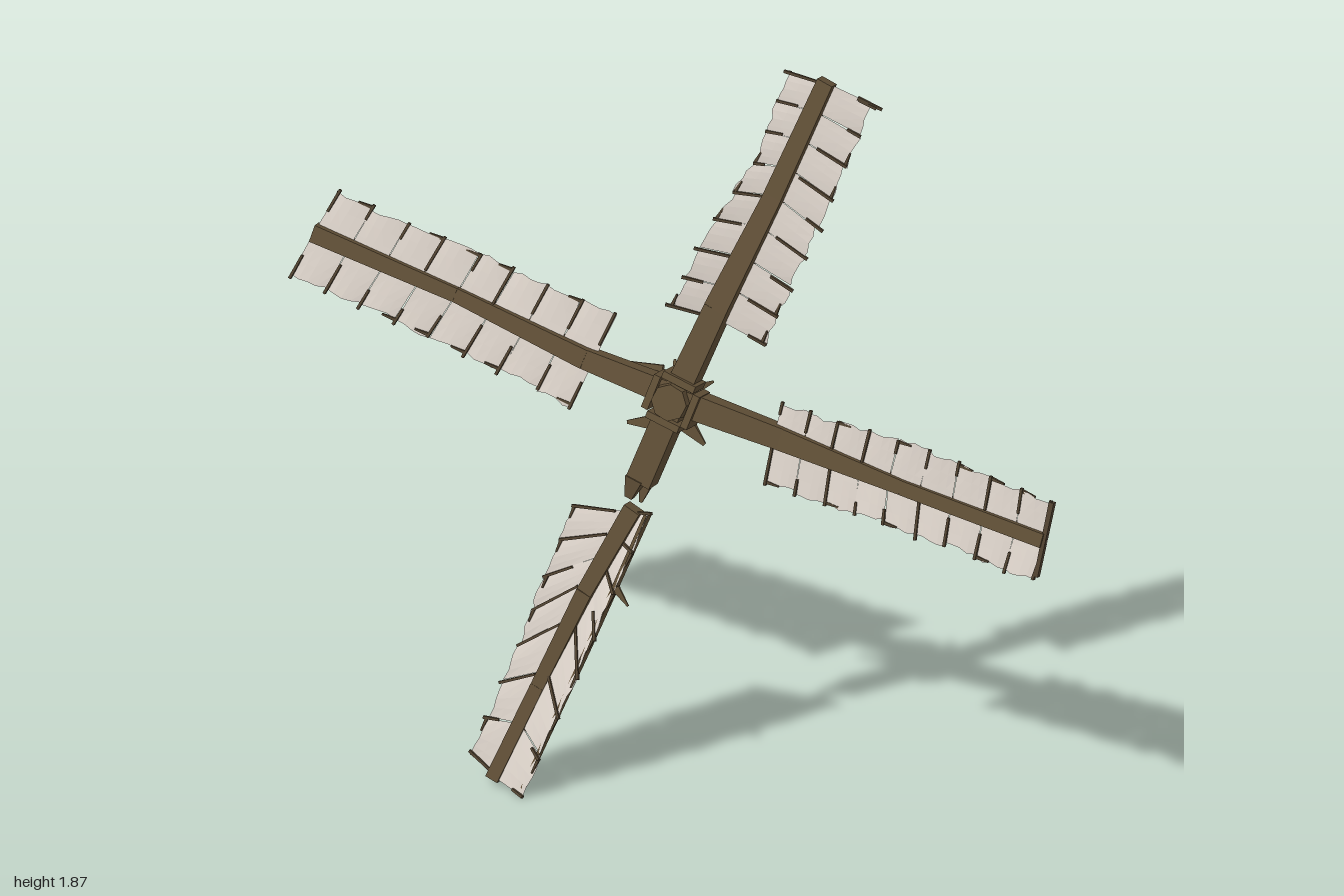
import * as THREE from 'three';

const V = (x, y, z) => new THREE.Vector3(x, y, z);
const AXLE = V(-0.07, 0.25, 0.95).normalize(); // tilted rotor axis
const HUB = V(0, 1.045, 0);

const mat = (name, color, side = THREE.FrontSide) => {
  const m = new THREE.MeshStandardMaterial({ color, side });
  m.name = name;
  m.flatShading = true;
  return m;
};

// Point at s (0..1) on a polyline
function along(pts, s) {
  const f = Math.min(Math.max(s, 0), 1) * (pts.length - 1);
  const i = Math.min(Math.floor(f), pts.length - 2);
  return pts[i].clone().lerp(pts[i + 1], f - i);
}

export function createModel() {
  const root = new THREE.Group();
  root.name = 'brokenWindmillRotor';
  const cloth = mat('weathered cloth', 0xdcd3ca, THREE.DoubleSide);
  const wood = mat('old wood', 0x615037);
  const dark = mat('dark wood', 0x504230);

  let seed = 11;
  const rnd = () => ((seed = (seed * 16807) % 2147483647) / 2147483647);
  const jit = (a) => (rnd() - 0.5) * 2 * a;

  // Tapered plank from p to q, its broad face towards 'face'
  function beam(parent, name, p, q, w0, w1, d0, d1, material, face = AXLE) {
    const dir = q.clone().sub(p);
    const geo = new THREE.BoxGeometry(1, dir.length(), 1);
    const a = geo.attributes.position;
    for (let i = 0; i < a.count; i++) {
      const end = a.getY(i) > 0;
      a.setX(i, a.getX(i) * (end ? w1 : w0));
      a.setZ(i, a.getZ(i) * (end ? d1 : d0));
    }
    const y = dir.normalize();
    const x = new THREE.Vector3().crossVectors(y, face).normalize();
    const z = new THREE.Vector3().crossVectors(x, y);
    const mesh = new THREE.Mesh(geo, material);
    mesh.quaternion.setFromRotationMatrix(new THREE.Matrix4().makeBasis(x, y, z));
    mesh.position.copy(p).lerp(q, 0.5);
    mesh.name = name;
    parent.add(mesh);
  }

  // Pointed splinter
  function splinter(parent, p, q, w) {
    beam(parent, 'splinter', p, q, w, w * 0.2, w * 0.4, 0.004, wood);
  }

  // One half of a sail: ragged cloth panels between the spar and an outer edge
  function sailHalf(parent, mid, edge, n) {
    const pos = [];
    const cols = 4, rows = 3;
    for (let i = 0; i < n; i++) {
      const reach = 1.01 + jit(0.05), lift = jit(0.005), slant = jit(0.035);
      const rag = Array.from({ length: cols + 1 }, () => jit(0.05));
      const at = (c, r) => {
        const u = c / cols, t = r / rows;
        const s = (i + 0.01 + 0.985 * u) / n;
        const p = along(mid, s).lerp(along(edge, s + slant * t / n), t * (reach + slant * (u - 0.5)) + (r === rows ? rag[c] : 0));
        return p.addScaledVector(AXLE, t * lift + 0.004 * Math.sin(Math.PI * u) * t);
      };
      for (let c = 0; c < cols; c++) for (let r = 0; r < rows; r++) {
        const [a, b, d, e] = [at(c, r), at(c + 1, r), at(c + 1, r + 1), at(c, r + 1)];
        for (const v of [a, b, d, a, d, e]) pos.push(v.x, v.y, v.z);
      }
    }
    const geo = new THREE.BufferGeometry();
    geo.setAttribute('position', new THREE.Float32BufferAttribute(pos, 3));
    geo.computeVertexNormals();
    const mesh = new THREE.Mesh(geo, cloth);
    mesh.name = 'sailCloth';
    parent.add(mesh);
  }

  // Blade: spar, two sail halves, and broken rungs in front of the cloth
  function blade({ name, spar, widths, mid, edges, n }) {
    const g = new THREE.Group();
    g.name = name;
    for (let i = 0; i < spar.length - 1; i++) {
      const [a, b] = [widths[i], widths[i + 1]];
      beam(g, 'spar', spar[i], spar[i + 1], a, b, a * 0.85, b * 0.8, wood);
    }
    for (const edge of edges) {
      sailHalf(g, mid, edge, n);
      for (let i = 0; i <= n; i++) {
        const s = Math.min(Math.max((i + jit(0.06)) / n, 0.005), 0.995);
        const m = along(mid, s), e = along(edge, s);
        const start = m.clone().lerp(e, rnd() * 0.75).addScaledVector(AXLE, 0.004);
        const tip = m.clone().lerp(e, 1.02 + rnd() * 0.12).addScaledVector(AXLE, 0.004);
        beam(g, 'rung', start, tip, 0.006, 0.007, 0.007, 0.009, dark);
        // Snapped batten at the hem
        if (rnd() > 0.4) {
          const q = along(edge, s + 0.05);
          beam(g, 'hemBatten', e, q.addScaledVector(AXLE, 0.004), 0.008, 0.004, 0.01, 0.006, dark);
        }
      }
    }
    root.add(g);
    return g;
  }

  const top = blade({
    name: 'topBlade', n: 8, widths: [0.065, 0.06, 0.048, 0.042],
    spar: [V(0.01, 1.07, -0.01), V(0.09, 1.28, -0.06), V(0.21, 1.57, -0.135), V(0.32, 1.865, -0.205)],
    mid: [V(0.09, 1.25, -0.055), V(0.21, 1.57, -0.133), V(0.325, 1.86, -0.205)],
    edges: [
      [V(-0.02, 1.28, -0.03), V(0.06, 1.48, -0.09), V(0.17, 1.67, -0.15), V(0.225, 1.875, -0.21)],
      [V(0.2, 1.2, -0.06), V(0.32, 1.5, -0.13), V(0.435, 1.82, -0.205)],
    ],
  });
  beam(top, 'tipBatten', V(0.4, 1.835, -0.2), V(0.46, 1.81, -0.205), 0.009, 0.006, 0.01, 0.008, dark);

  const left = blade({
    name: 'leftBlade', n: 9, widths: [0.065, 0.055, 0.036, 0.036],
    spar: [V(0.02, 1.045, 0), V(0.28, 0.995, 0.02), V(0.6, 0.935, 0.065), V(0.975, 0.875, 0.115)],
    mid: [V(0.255, 0.99, 0.02), V(0.6, 0.935, 0.065), V(0.985, 0.87, 0.115)],
    edges: [
      [V(0.27, 1.075, 0.0), V(0.62, 1.04, 0.045), V(0.99, 0.965, 0.09)],
      [V(0.24, 0.88, 0.04), V(0.6, 0.835, 0.09), V(0.96, 0.778, 0.138)],
    ],
  });
  beam(left, 'tipBar', V(0.99, 0.97, 0.092), V(0.965, 0.785, 0.138), 0.013, 0.01, 0.016, 0.016, dark);

  blade({
    name: 'rightBlade', n: 8, widths: [0.06, 0.05, 0.036, 0.044],
    spar: [V(-0.02, 1.06, -0.01), V(-0.24, 1.1, -0.04), V(-0.58, 1.205, -0.07), V(-0.95, 1.305, -0.09)],
    mid: [V(-0.22, 1.095, -0.04), V(-0.58, 1.205, -0.07), V(-0.95, 1.305, -0.092)],
    edges: [
      [V(-0.175, 1.205, -0.075), V(-0.53, 1.305, -0.1), V(-0.9, 1.405, -0.125)],
      [V(-0.265, 0.98, -0.015), V(-0.64, 1.095, -0.045), V(-0.998, 1.2, -0.065)],
    ],
  });

  // Snapped-off lower blade, its sail twisted around the spar
  const low = blade({
    name: 'brokenBlade', n: 7, widths: [0.045, 0.04, 0.034, 0.034],
    spar: [V(-0.09, 0.755, 0.045), V(-0.2, 0.53, 0.085), V(-0.31, 0.27, 0.118), V(-0.41, 0.025, 0.168)],
    mid: [V(-0.125, 0.735, 0.03), V(-0.2, 0.53, 0.073), V(-0.405, 0.03, 0.172)],
    edges: [
      [V(-0.25, 0.725, 0.015), V(-0.35, 0.41, 0.08), V(-0.47, 0.075, 0.155)],
      [V(-0.045, 0.76, 0.06), V(-0.18, 0.39, 0.145), V(-0.325, 0.008, 0.21)],
    ],
  });
  // Wooden rail behind the folded edge
  beam(low, 'edgeRail', V(-0.055, 0.745, 0.045), V(-0.185, 0.39, 0.125), 0.008, 0.008, 0.04, 0.035, wood);
  beam(low, 'edgeRail', V(-0.185, 0.39, 0.125), V(-0.325, 0.025, 0.192), 0.008, 0.008, 0.035, 0.02, wood);
  splinter(low, V(-0.12, 0.56, 0.1), V(-0.085, 0.52, 0.11), 0.02);

  // Stub left on the hub, snapped at a slant
  const stub = new THREE.Group();
  stub.name = 'snappedStub';
  root.add(stub);
  beam(stub, 'stubSpar', V(0, 1.04, -0.01), V(-0.08, 0.82, 0.018), 0.065, 0.066, 0.06, 0.055, wood);
  beam(stub, 'stubSplit', V(-0.09, 0.83, 0.022), V(-0.108, 0.775, 0.028), 0.045, 0.02, 0.05, 0.02, wood);
  splinter(stub, V(-0.07, 0.82, 0), V(-0.085, 0.755, 0.01), 0.04);

  // Hub block with clamp boards around it
  const hub = new THREE.Group();
  hub.name = 'hub';
  hub.position.copy(HUB);
  hub.quaternion.setFromUnitVectors(V(0, 0, 1), AXLE);
  root.add(hub);
  const core = new THREE.Mesh(new THREE.CylinderGeometry(0.046, 0.055, 0.09, 8), wood);
  core.name = 'hubCore';
  core.rotation.x = Math.PI / 2;
  hub.add(core);
  for (let i = 0; i < 4; i++) {
    const clamp = new THREE.Mesh(new THREE.BoxGeometry(0.09, 0.018, 0.07), wood);
    const a = i * Math.PI / 2 - 0.3;
    clamp.name = 'hubClamp';
    clamp.position.set(-Math.sin(a) * 0.055, Math.cos(a) * 0.055, 0);
    clamp.rotation.z = a;
    hub.add(clamp);
  }
  const axle = new THREE.Mesh(new THREE.CylinderGeometry(0.035, 0.028, 0.05, 7), wood);
  axle.name = 'brokenAxle';
  axle.rotation.x = Math.PI / 2;
  axle.position.z = -0.06;
  hub.add(axle);

  // Splintered wood behind the hub
  const debris = new THREE.Group();
  debris.name = 'axleSplinters';
  root.add(debris);
  for (let i = 0; i < 6; i++) {
    const a = i * 1.05 + jit(0.2);
    const dir = V(Math.cos(a), Math.sin(a), 0);
    const p = HUB.clone().addScaledVector(dir, 0.025).add(V(0, 0, -0.05));
    const q = HUB.clone().addScaledVector(dir, 0.05 + rnd() * 0.02).add(V(0, 0, -0.1 + jit(0.025)));
    splinter(debris, p, q, 0.028);
  }
  splinter(debris, V(-0.05, 1.09, -0.06), V(-0.14, 1.085, -0.08), 0.02);
  splinter(debris, V(0.05, 1.17, -0.08), V(0.03, 1.2, -0.1), 0.025);
  splinter(debris, V(-0.05, 0.95, -0.05), V(-0.145, 0.925, -0.07), 0.045);
  splinter(debris, V(-0.02, 0.945, -0.05), V(-0.09, 0.895, -0.08), 0.035);
  splinter(debris, V(0, 0.95, -0.07), V(0.055, 0.9, -0.06), 0.045);
  return root;
}
